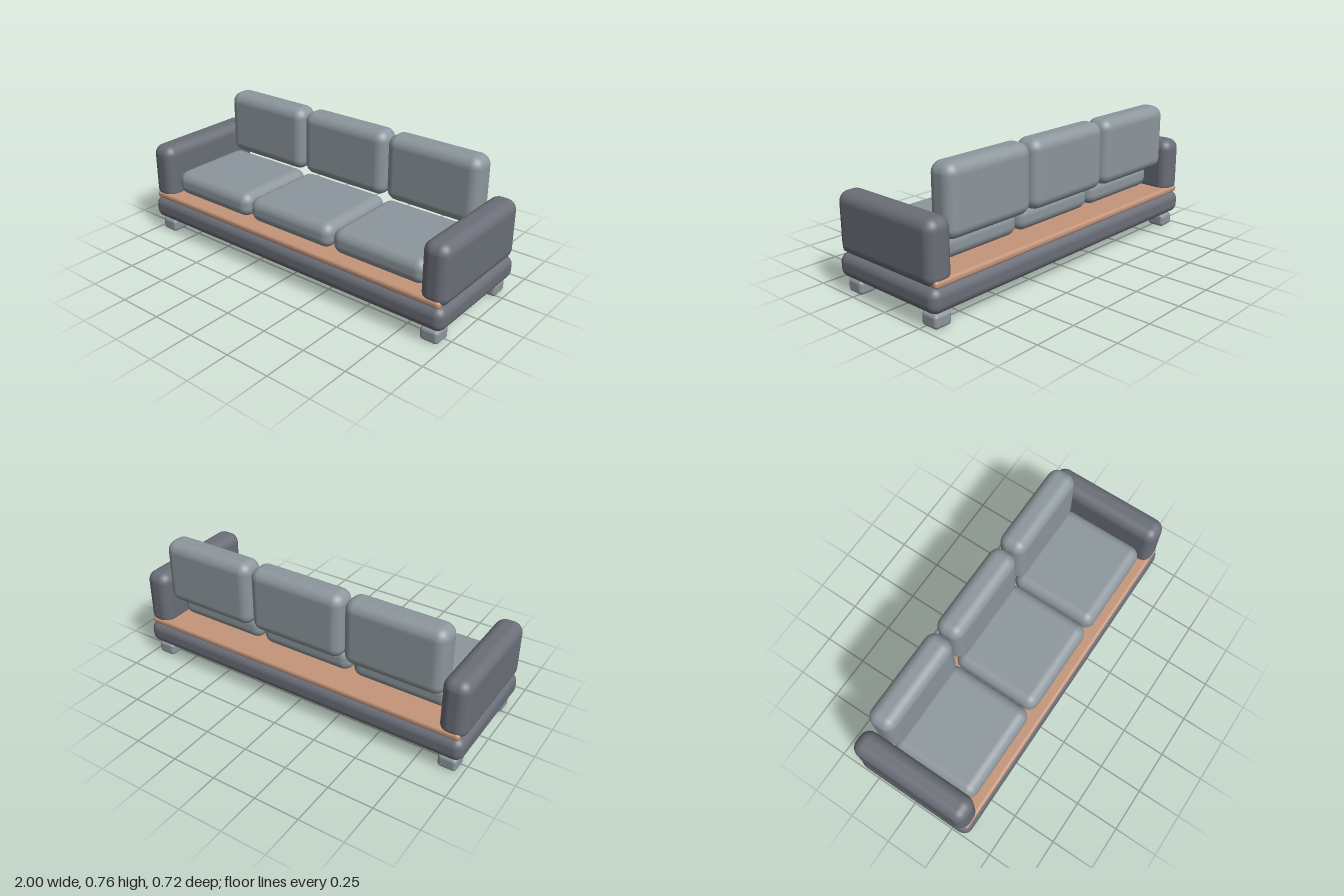
import * as THREE from 'three';
import { RoundedBoxGeometry } from 'three/addons/geometries/RoundedBoxGeometry.js';

export function createModel() {
  const sofa = new THREE.Group();
  sofa.name = 'sofa';

  const material = (name, color) => {
    const m = new THREE.MeshStandardMaterial({ color });
    m.name = name;
    return m;
  };
  const cushionGrey = material('cushionGrey', 0x8d979d);
  const frameGrey = material('frameGrey', 0x6a6e77);
  const wood = material('wood', 0xc4957a);

  // Rounded block spanning the given [min, max] ranges
  function block(name, mat, [x0, x1], [y0, y1], [z0, z1], radius, segments = 4) {
    const geometry = new RoundedBoxGeometry(x1 - x0, y1 - y0, z1 - z0, segments, radius);
    const mesh = new THREE.Mesh(geometry, mat);
    mesh.name = name;
    mesh.position.set((x0 + x1) / 2, (y0 + y1) / 2, (z0 + z1) / 2);
    sofa.add(mesh);
  }

  // Upholstered base and the wooden deck on it
  block('base', frameGrey, [-1, 1], [0.081, 0.213], [-0.358, 0.358], 0.05);
  block('deck', wood, [-0.975, 0.975], [0.211, 0.25], [-0.349, 0.349], 0.016);

  // Armrests and feet, mirrored left and right
  for (const side of [1, -1]) {
    const label = side > 0 ? 'left' : 'right';
    const span = (a, b) => (side > 0 ? [a, b] : [-b, -a]);
    block(label + 'Armrest', frameGrey, span(0.852, 1), [0.207, 0.538], [-0.346, 0.346], 0.058);
    block(label + 'FrontFoot', cushionGrey, span(0.864, 0.968), [0, 0.075], [0.225, 0.33], 0.02, 2);
    block(label + 'BackFoot', cushionGrey, span(0.864, 0.968), [0, 0.075], [-0.33, -0.225], 0.02, 2);
  }

  // Three seat cushions with a back cushion behind each
  ['right', 'middle', 'left'].forEach((label, i) => {
    const x = (i - 1) * 0.571;
    const span = [x - 0.281, x + 0.281];
    block(label + 'SeatCushion', cushionGrey, span, [0.25, 0.39], [-0.22, 0.296], 0.058);
    block(label + 'BackCushion', cushionGrey, span, [0.385, 0.756], [-0.317, -0.161], 0.06);
  });

  return sofa;
}
